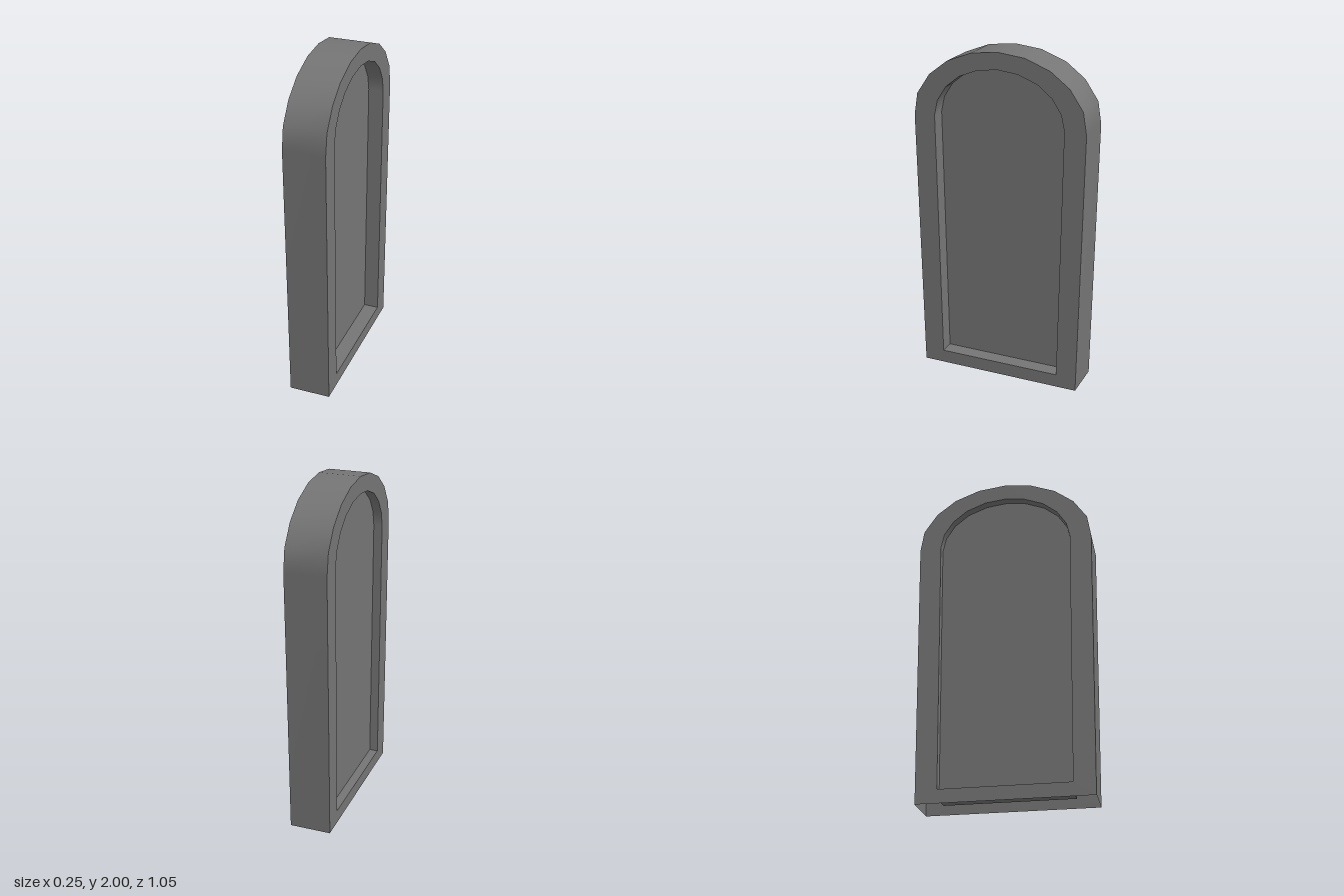
import * as THREE from 'three';

const HALF = 0.123; // half thickness of the slab
const material = new THREE.MeshStandardMaterial({ color: 0x757575, side: THREE.DoubleSide });

// Mirrors a half profile of (z, y) points, ending at the crown, into a full arch
function arch(half) {
  const right = half.map(([z, y]) => new THREE.Vector2(z, y));
  const left = half.slice(0, -1).reverse().map(([z, y]) => new THREE.Vector2(-z, y));
  return [...right, ...left];
}

// Sweeps an outline of (z, y) points across the thickness, smooth along its length
function wall(points) {
  const positions = [];
  const index = [];
  points.forEach((p, i) => {
    positions.push(HALF, p.y, p.x, -HALF, p.y, p.x);
    if (i > 0) {
      const a = 2 * (i - 1);
      index.push(a, a + 2, a + 1, a + 1, a + 2, a + 3);
    }
  });
  const geometry = new THREE.BufferGeometry();
  geometry.setAttribute('position', new THREE.Float32BufferAttribute(positions, 3));
  geometry.setIndex(index);
  geometry.computeVertexNormals();
  return geometry;
}

export function createModel() {
  const group = new THREE.Group();
  group.name = 'archedSlab';
  const add = (name, geometry) => {
    const mesh = new THREE.Mesh(geometry, material);
    mesh.name = name;
    group.add(mesh);
    return mesh;
  };

  const outer = arch([[0.498, 0], [0.523, 1.59], [0.502, 1.72], [0.422, 1.838], [0.308, 1.925], [0.16, 1.982], [0, 2]]);
  const innerHalf = [[0.375, 0.08], [0.395, 1.6], [0.375, 1.69], [0.32, 1.775], [0.235, 1.843], [0.12, 1.888], [0, 1.902]];
  const inner = arch(innerHalf);

  // Outer rim, open underneath, and the walls and sill of the recesses
  add('outerRim', wall(outer));
  add('recessWall', wall([...inner].reverse()));
  add('recessSill', wall([inner[0], inner[inner.length - 1]]));

  // Flat border around the recess on both broad sides
  for (const side of [1, -1]) {
    const shape = new THREE.Shape(outer);
    shape.holes.push(new THREE.Path(inner));
    const border = add(side > 0 ? 'leftBorder' : 'rightBorder', new THREE.ShapeGeometry(shape).rotateY(side * Math.PI / 2));
    border.position.x = side * HALF;
  }

  // Solid panel between the two recesses, reaching a little below the sill
  const panelShape = new THREE.Shape(arch([[0.375, 0.03], ...innerHalf.slice(1)]));
  const panel = add('panel', new THREE.ExtrudeGeometry(panelShape, { depth: 0.104, bevelEnabled: false }).rotateY(Math.PI / 2));
  panel.position.x = -0.071;
  return group;
}
